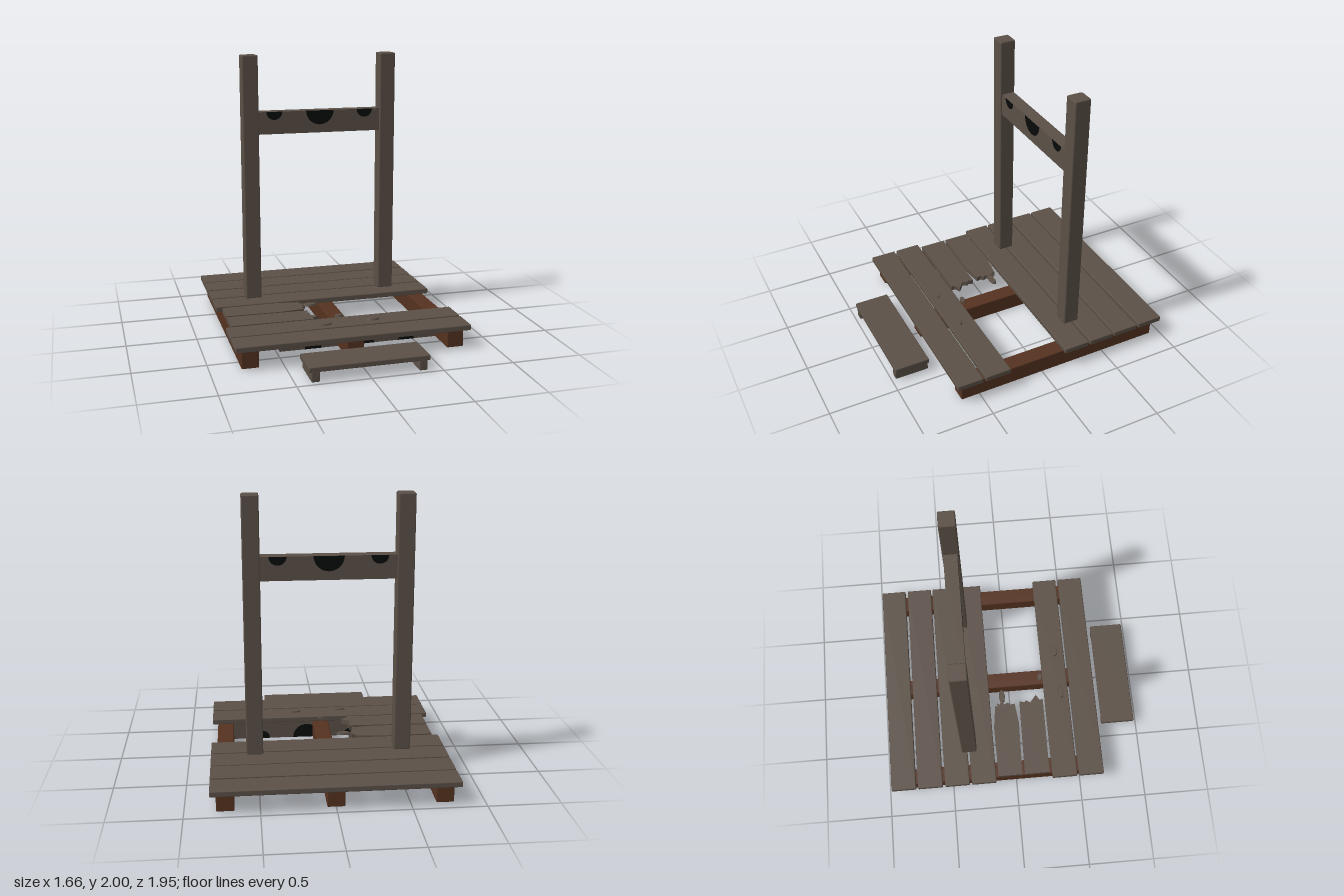
import * as THREE from 'three';
import { RoundedBoxGeometry } from 'three/addons/geometries/RoundedBoxGeometry.js';

const wood = new THREE.MeshStandardMaterial({ color: 0x5b5047 });
wood.name = 'weathered wood';
const beamWood = new THREE.MeshStandardMaterial({ color: 0x553220 });
beamWood.name = 'dark red-brown wood';
const black = new THREE.MeshStandardMaterial({ color: 0x080a0a });
black.name = 'hole black';

function add(parent, name, geometry, material) {
  const mesh = new THREE.Mesh(geometry, material);
  mesh.name = name;
  parent.add(mesh);
  return mesh;
}

// Softly bevelled box given by its extents on each axis
function box(parent, name, [x0, x1], [y0, y1], [z0, z1], material = wood, bevel = 0.007) {
  const size = [x1 - x0, y1 - y0, z1 - z0];
  const geo = bevel ? new RoundedBoxGeometry(...size, 1, bevel) : new THREE.BoxGeometry(...size);
  const mesh = add(parent, name, geo, material);
  mesh.position.set((x0 + x1) / 2, (y0 + y1) / 2, (z0 + z1) / 2);
  return mesh;
}

// Flat slab cut from an outline of [x, z] points
function slab(parent, name, outline, y, height) {
  const shape = new THREE.Shape(outline.map(([x, z]) => new THREE.Vector2(x, -z)));
  const geo = new THREE.ExtrudeGeometry(shape, { depth: height, bevelEnabled: false });
  geo.rotateX(-Math.PI / 2);
  add(parent, name, geo, wood).position.y = y;
}

// Board with three half-round openings along its top or bottom edge
function stockBoard(name, halfWidth, holesOnTop) {
  const height = 0.165, depth = 0.096;
  const board = new THREE.Group();
  board.name = name;
  box(board, 'board', [-halfWidth, halfWidth], [0, height], [-depth / 2, depth / 2], wood, 0);
  for (const [x, r] of [[-0.345, 0.06], [0, 0.105], [0.345, 0.06]]) {
    for (const side of [1, -1]) {
      const geo = new THREE.CircleGeometry(r, 16, holesOnTop ? Math.PI : 0, Math.PI);
      const hole = add(board, 'hole', geo, black);
      hole.position.set(x, holesOnTop ? height : 0, side * (depth / 2 + 0.002));
      if (side < 0) hole.rotation.y = Math.PI;
    }
  }
  return board;
}

export function createModel() {
  const model = new THREE.Group();
  model.name = 'stocks platform';

  // Support beams under the deck
  for (const x of [-0.73, 0, 0.73]) {
    box(model, 'supportBeam', [x - 0.06, x + 0.06], [0.005, 0.134], [-0.925, 0.64], beamWood);
  }

  // Whole deck planks: [z start, z end, slight turn]
  const planks = [
    [-0.978, -0.787, 0.001], [-0.77, -0.577, -0.002], [-0.561, -0.37, 0.002],
    [-0.354, -0.162, 0.002], [0.277, 0.47, 0.002], [0.487, 0.68, -0.001],
  ];
  for (const [z0, z1, turn] of planks) {
    box(model, 'deckPlank', [-0.833, 0.83], [0.134, 0.175], [z0, z1]).rotation.y = turn;
  }

  // Snapped planks
  slab(model, 'brokenPlank', [
    [-0.79, -0.14], [-0.4, -0.145], [-0.22, -0.122], [-0.23, -0.1], [-0.2, -0.105],
    [-0.215, -0.085], [-0.18, -0.07], [-0.215, -0.045], [-0.2, -0.02], [-0.22, 0.0],
    [-0.215, 0.035], [-0.38, 0.055], [-0.79, 0.045],
  ], 0.136, 0.036);
  slab(model, 'brokenPlank', [
    [-0.79, 0.065], [-0.2, 0.075], [-0.21, 0.115], [-0.195, 0.125], [-0.215, 0.16],
    [-0.155, 0.21], [-0.2, 0.235], [-0.195, 0.262], [-0.79, 0.258],
  ], 0.136, 0.036);

  // Loose wood chips: [x, y, z, length, width]
  const chips = [
    [0.2, 0.18, 0.39, 0.11, 0.055], [-0.155, 0.18, 0.41, 0.105, 0.045],
    [-0.01, 0.178, 0.255, 0.07, 0.04], [-0.145, 0.168, -0.062, 0.12, 0.05],
  ];
  for (const [x, y, z, length, width] of chips) {
    const chip = add(model, 'woodChip', new THREE.CylinderGeometry(0.42, 0.5, 1, 7), wood);
    chip.scale.set(length, 0.014, width);
    chip.position.set(x, y, z);
  }

  // Upright posts and the fixed lower board between them
  for (const x of [-0.522, 0.522]) {
    box(model, 'post', [x - 0.059, x + 0.059], [0.172, 2], [-0.413, -0.295], wood, 0.01);
  }
  const fixedBoard = stockBoard('fixedStockBoard', 0.55, true);
  fixedBoard.position.set(0, 1.42, -0.357);
  model.add(fixedBoard);

  // Fallen upper board standing under the front planks
  const fallenBoard = stockBoard('fallenStockBoard', 0.585, false);
  fallenBoard.position.set(0.107, 0.002, 0.345);
  model.add(fallenBoard);

  // Step in front of the deck
  const step = new THREE.Group();
  step.name = 'step';
  model.add(step);
  box(step, 'stepTop', [-0.414, 0.414], [0.073, 0.11], [0.718, 0.975]);
  for (const x of [-0.368, 0.368]) {
    box(step, 'stepLeg', [x - 0.028, x + 0.028], [0.005, 0.077], [0.722, 0.972]);
  }
  return model;
}
